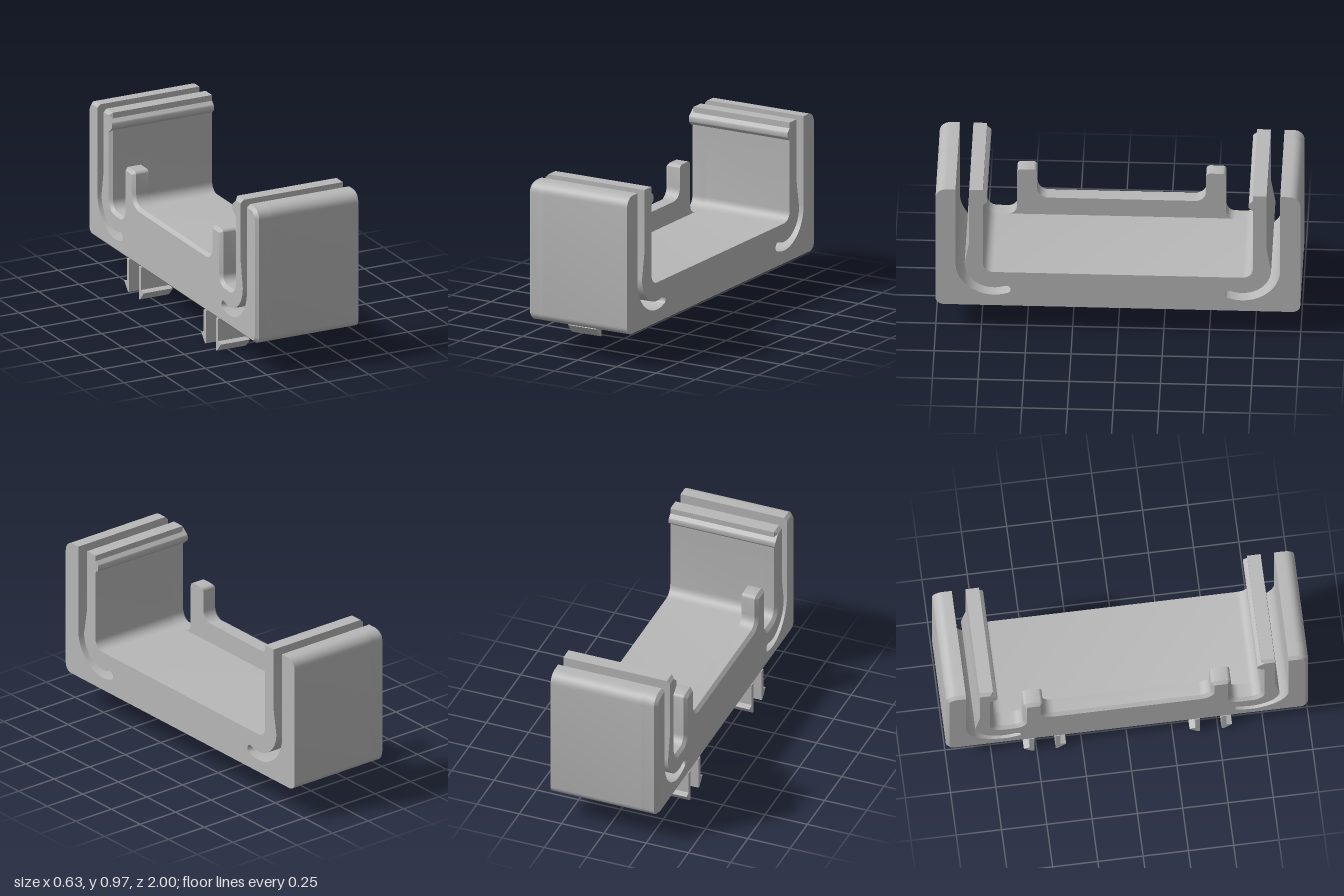
import * as THREE from 'three';
import { toCreasedNormals } from 'three/addons/utils/BufferGeometryUtils.js';

// Profile corners are [z, y, radius, unchamfered], listed clockwise with z to the right.
function roundCorners(corners) {
  const out = [];
  corners.forEach(([z, y, r = 0, keep = false], i) => {
    const c = new THREE.Vector2(z, y);
    if (!r) { c.keep = keep; out.push(c); return; }
    const n = corners.length;
    const toward = ([pz, py]) => new THREE.Vector2(pz, py).sub(c).normalize();
    const u = toward(corners[(i + n - 1) % n]), v = toward(corners[(i + 1) % n]);
    const half = Math.acos(THREE.MathUtils.clamp(u.dot(v), -1, 1)) / 2;
    const centre = c.clone().addScaledVector(u.clone().add(v).normalize(), r / Math.sin(half));
    const t = r / Math.tan(half);
    const a = c.clone().addScaledVector(u, t).sub(centre);
    const b = c.clone().addScaledVector(v, t).sub(centre);
    let sweep = b.angle() - a.angle();
    if (sweep > Math.PI) sweep -= 2 * Math.PI;
    if (sweep < -Math.PI) sweep += 2 * Math.PI;
    const steps = 7;
    for (let k = 0; k <= steps; k++) {
      const p = a.clone().rotateAround(new THREE.Vector2(), sweep * k / steps).add(centre);
      p.keep = keep;
      out.push(p);
    }
  });
  return out;
}

// Move every edge inward by d, except edges between two unchamfered points
function inset(points, d) {
  const n = points.length;
  const edge = (i) => {
    const p = points[i], q = points[(i + 1) % n];
    const dir = q.clone().sub(p).normalize();
    return { x: dir.y, y: -dir.x, d: p.keep && q.keep ? 0 : d };
  };
  return points.map((p, i) => {
    const a = edge((i + n - 1) % n), b = edge(i);
    const det = a.x * b.y - a.y * b.x;
    if (Math.abs(det) < 0.02) return new THREE.Vector2(p.x + b.x * b.d, p.y + b.y * b.d);
    return new THREE.Vector2(
      p.x + (a.d * b.y - b.d * a.y) / det,
      p.y + (a.x * b.d - b.x * a.d) / det);
  });
}

// Loft a profile through sections [x, inset] along x and close both ends
function loft(points, sections) {
  const pos = [], n = points.length;
  const rings = sections.map(([x, d]) =>
    (d ? inset(points, d) : points).map((p) => [x, p.y, p.x]));
  for (let s = 0; s < rings.length - 1; s++) {
    for (let i = 0; i < n; i++) {
      const j = (i + 1) % n;
      const a = rings[s][i], b = rings[s][j], c = rings[s + 1][j], e = rings[s + 1][i];
      pos.push(...a, ...b, ...c, ...a, ...c, ...e);
    }
  }
  [rings[0], rings[rings.length - 1]].forEach((ring, end) => {
    const flat = ring.map((p) => new THREE.Vector2(p[2], p[1]));
    for (const [i, j, k] of THREE.ShapeUtils.triangulateShape(flat, [])) {
      const ccw = THREE.ShapeUtils.area([flat[i], flat[j], flat[k]]) > 0;
      const order = ccw === (end === 0) ? [i, j, k] : [i, k, j];
      order.forEach((m) => pos.push(...ring[m]));
    }
  });
  const g = new THREE.BufferGeometry();
  g.setAttribute('position', new THREE.Float32BufferAttribute(pos, 3));
  return toCreasedNormals(g, 0.4);
}

// Curved slot between the spring arm and the outer wall
function slotPoints() {
  const pts = [], cz = 0.68, cy = 0.465, end = -111.5 * Math.PI / 180, steps = 12;
  const add = (z, y, r, a) => pts.push([z + r * Math.cos(a), y + r * Math.sin(a), 0, true]);
  for (let k = 0; k <= steps; k++) add(cz, cy, 0.16, end * k / steps);
  const mz = cz + 0.185 * Math.cos(end), my = cy + 0.185 * Math.sin(end);
  for (let k = 1; k < 8; k++) add(mz, my, 0.025, end + Math.PI + Math.PI * k / 8);
  for (let k = steps; k >= 0; k--) add(cz, cy, 0.21, end * k / steps);
  return pts;
}

// Half of the cradle profile: arm with bump, slot, outer wall
const halfProfile = [
  [0.74, 0.41, 0.058],
  [0.74, 0.868, 0, true], [0.717, 0.888, 0.012, true],
  [0.717, 0.917, 0.012, true], [0.74, 0.937, 0, true],
  [0.74, 0.97], [0.815, 0.97, 0, true], [0.815, 0.61, 0, true],
  ...slotPoints(),
  [0.89, 0.97, 0, true], [1, 0.97, 0.06], [1, 0.183, 0.045],
];
// Raised rail and post, only on the back plate
const railProfile = [
  [0.463, 0.525, 0.063], [0.463, 0.715, 0.022], [0.573, 0.715, 0.022], [0.573, 0.41, 0.05],
];

function mirrored(half) {
  const other = half.map(([z, y, r, keep]) => [-z, y, r, keep]).reverse();
  return roundCorners([...half, ...other]);
}

export function createModel() {
  const model = new THREE.Group();
  model.name = 'clipOnCradle';
  const grey = new THREE.MeshStandardMaterial({ color: 0xb8b8b8 });
  grey.name = 'plain grey';
  const add = (name, geometry) => {
    const mesh = new THREE.Mesh(geometry, grey);
    mesh.name = name;
    model.add(mesh);
  };

  // Main cradle and chamfered end plate
  add('cradleBody', loft(mirrored(halfProfile), [[-0.22, 0], [0.315, 0]]));
  add('endPlate', loft(mirrored([...railProfile, ...halfProfile]),
    [[-0.315, 0.018], [-0.297, 0], [-0.22, 0]]));

  // Barbed snap hooks below: [z of the plain side, barb direction]
  [[0.52, 1], [0.401, -1], [-0.396, 1], [-0.514, -1]].forEach(([z, d], i) => {
    const hook = [[0, 0.19], [0.026, 0.19], [0.026, 0.06], [0.058, 0.05], [0.012, 0], [0, 0]]
      .map(([dz, y]) => new THREE.Vector2(z + d * dz, y));
    if (d < 0) hook.reverse();
    add('snapHook' + (i + 1), loft(hook, [[-0.315, 0], [-0.135, 0]]));
  });
  return model;
}
